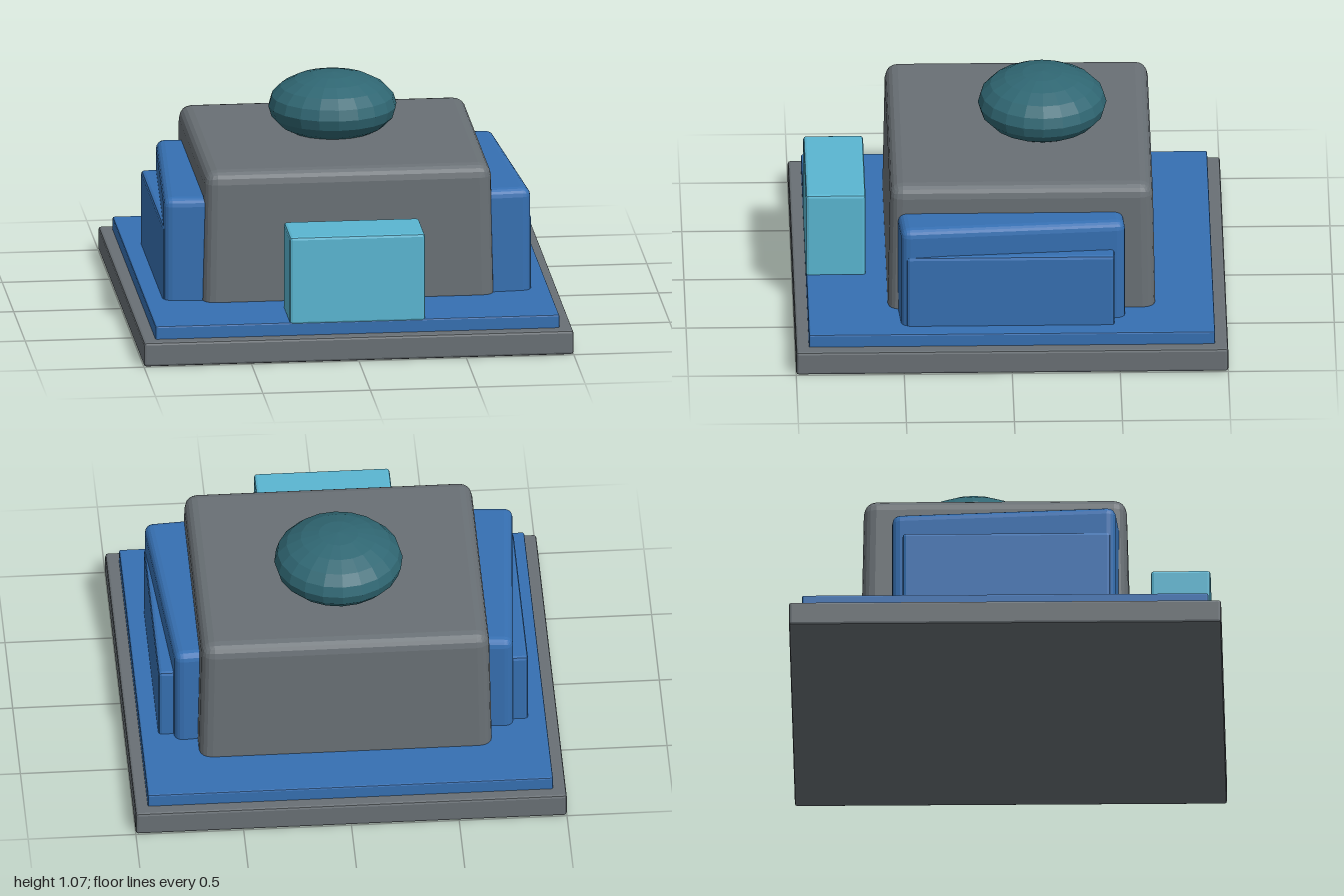
import * as THREE from 'three';
import { RoundedBoxGeometry } from 'three/addons/geometries/RoundedBoxGeometry.js';

export function createModel() {
  const model = new THREE.Group();
  model.name = 'building';

  const material = (name, color) => {
    const m = new THREE.MeshStandardMaterial({ color, flatShading: true });
    m.name = name;
    return m;
  };
  const grey = material('stone grey', 0x697075);
  const blue = material('blue', 0x3670b2);
  const cyan = material('light cyan', 0x5ab6d2);
  const teal = material('dark teal', 0x306773);

  // Bevelled box given by its min and max corners
  function box(name, mat, [x0, y0, z0], [x1, y1, z1], bevel, segments = 1) {
    const geo = new RoundedBoxGeometry(x1 - x0, y1 - y0, z1 - z0, segments, bevel);
    const mesh = new THREE.Mesh(geo, mat);
    mesh.name = name;
    mesh.position.set((x0 + x1) / 2, (y0 + y1) / 2, (z0 + z1) / 2);
    model.add(mesh);
    return mesh;
  }

  // Stepped base
  box('basePlate', grey, [-1, 0, -1], [1, 0.115, 1], 0.012);
  box('floorPlate', blue, [-0.94, 0.08, -0.94], [0.94, 0.177, 0.94], 0.008);

  // Main block, tapering slightly upwards
  const block = box('mainBlock', grey, [-0.68, 0.12, -0.67], [0.68, 0.797, 0.57], 0.06, 2);
  const pos = block.geometry.attributes.position;
  for (let i = 0; i < pos.count; i++) {
    const k = 1 - 0.02 * (pos.getY(i) / 0.677 + 0.5);
    pos.setX(i, pos.getX(i) * k);
    pos.setZ(i, pos.getZ(i) * k);
  }
  block.geometry.computeVertexNormals();

  // Side wings: a splayed slab with a lower straight slab overlapping it
  for (const [side, s] of [['left', 1], ['right', -1]]) {
    const slab = box(side + 'Wing', blue, [s > 0 ? 0.53 : -0.82, 0.13, -0.52],
      [s > 0 ? 0.82 : -0.53, 0.665, 0.52], 0.04, 2);
    slab.rotation.y = s * 0.07;
    box(side + 'WingPanel', blue, [s > 0 ? 0.74 : -0.858, 0.13, -0.477],
      [s > 0 ? 0.858 : -0.74, 0.53, 0.487], 0.016);
  }

  // Entrance block at the front
  box('entranceBlock', cyan, [-0.315, 0.165, 0.665], [0.315, 0.585, 0.942], 0.014);

  // Flattened dome on the roof
  const dome = new THREE.Mesh(new THREE.SphereGeometry(1, 20, 10), teal);
  dome.name = 'dome';
  dome.scale.set(0.298, 0.157, 0.298);
  dome.position.set(0, 0.908, -0.158);
  model.add(dome);

  return model;
}
